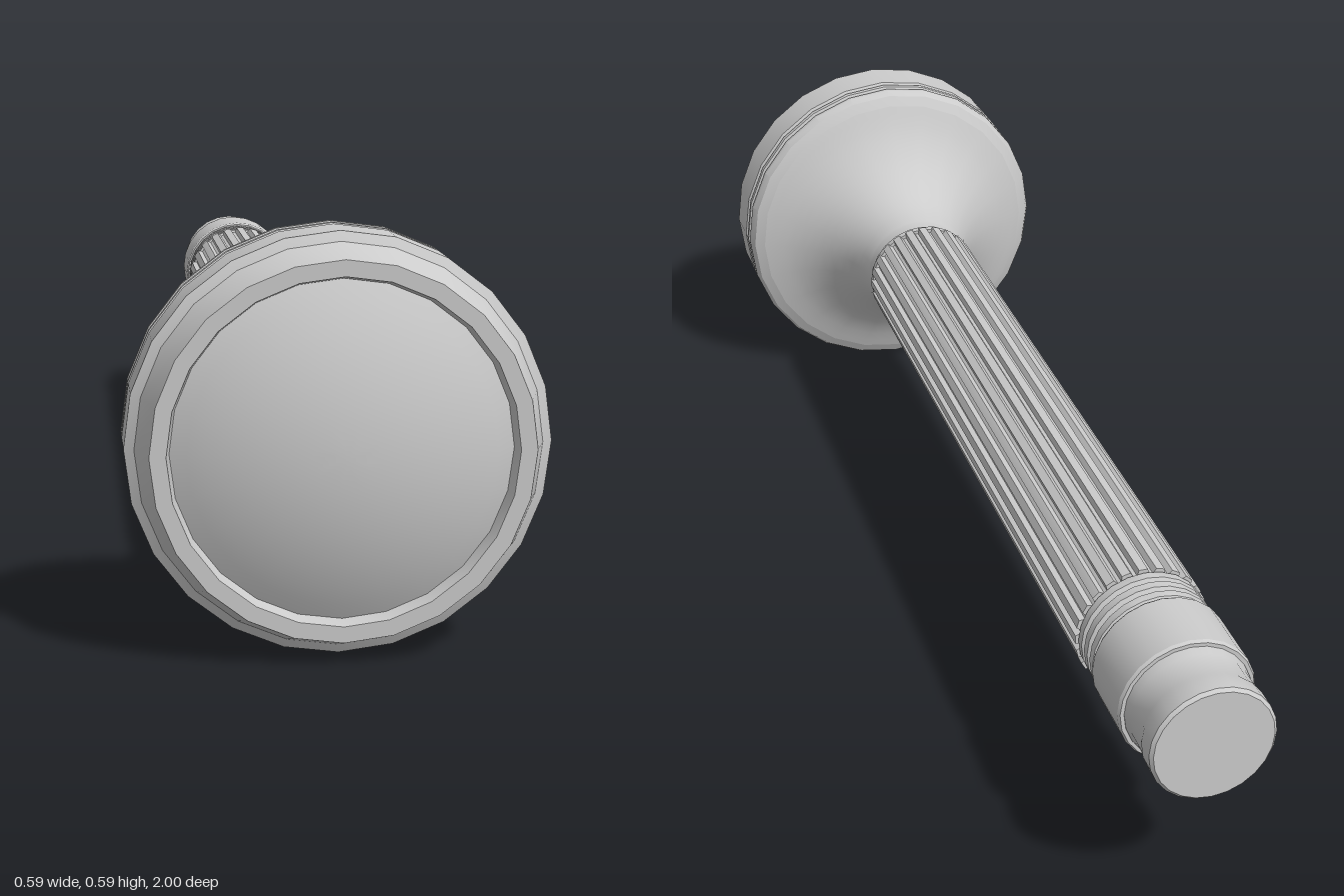
import * as THREE from 'three';
import { toCreasedNormals } from 'three/addons/utils/BufferGeometryUtils.js';

const material = new THREE.MeshStandardMaterial({ color: 0xcccccc });
const AXIS_Y = 0.298;

function addMesh(group, name, geometry, crease = 0.5) {
  const mesh = new THREE.Mesh(toCreasedNormals(geometry, crease), material);
  mesh.name = name;
  group.add(mesh);
}

// Turned part along z; profile is [radius, z] from back to front
function turned(profile, sides = 24) {
  const points = profile.map(([r, z]) => new THREE.Vector2(r, z));
  return new THREE.LatheGeometry(points, sides).rotateX(Math.PI / 2);
}

// Fluted bar: raised flat ribs alternating with shallow grooves
function fluted(ribs, outer, inner, z0, z1) {
  const shape = new THREE.Shape();
  const step = (Math.PI * 2) / ribs;
  const corners = [[0.0, outer], [0.5, outer], [0.64, inner], [0.86, inner]];
  for (let i = 0; i < ribs; i++) {
    corners.forEach(([f, r], k) => {
      const a = (i + f - 0.25) * step + Math.PI / 2;
      const x = r * Math.cos(a), y = r * Math.sin(a);
      if (i + k === 0) shape.moveTo(x, y);
      else shape.lineTo(x, y);
    });
  }
  shape.closePath();
  return new THREE.ExtrudeGeometry(shape, { depth: z1 - z0, bevelEnabled: false }).translate(0, 0, z0);
}

export function createModel() {
  const group = new THREE.Group();
  group.name = 'flaredHandle';
  const body = new THREE.Group();
  body.name = 'body';
  body.position.y = AXIS_Y;
  group.add(body);

  // Stepped plug closing the rear end
  addMesh(body, 'endPlug', turned([
    [0, -1], [0.092, -1], [0.097, -0.995], [0.097, -0.965], [0.094, -0.955],
    [0.094, -0.91], [0.098, -0.9], [0.098, -0.88],
  ]));

  // Wide collar in front of the plug
  addMesh(body, 'rearCollar', turned([
    [0.09, -0.897], [0.104, -0.897], [0.107, -0.892], [0.107, -0.785], [0.104, -0.78], [0.09, -0.78],
  ]));

  // Grooved rings between collar and grip
  const rings = [[0.09, -0.785]];
  for (let i = 0; i < 3; i++) {
    const z = -0.776 + i * 0.025;
    rings.push([0.094, z], [0.102, z + 0.004], [0.102, z + 0.018], [0.094, z + 0.022]);
  }
  rings.push([0.09, -0.695]);
  addMesh(body, 'grooveRings', turned(rings));

  addMesh(body, 'flutedGrip', fluted(24, 0.106, 0.097, -0.705, 0.535), 0.3);

  // Neck rings and concave flare
  const flare = new THREE.SplineCurve([
    [0.101, 0.575], [0.111, 0.615], [0.134, 0.66], [0.172, 0.705], [0.221, 0.74], [0.272, 0.762],
  ].map((p) => new THREE.Vector2(...p))).getPoints(14).map((p) => [p.x, p.y]);
  addMesh(body, 'flaredNeck', turned([
    [0.09, 0.53], [0.104, 0.53], [0.104, 0.543], [0.1, 0.547], [0.1, 0.57], ...flare,
  ]));

  // Head rim with double grooves, bevelled lip and a recess for the dome
  addMesh(body, 'headRim', turned([
    [0.272, 0.762], [0.29, 0.772], [0.297, 0.785], [0.297, 0.793],
    [0.291, 0.796], [0.291, 0.803], [0.297, 0.806], [0.297, 0.816],
    [0.291, 0.819], [0.291, 0.826], [0.297, 0.83], [0.297, 0.906],
    [0.283, 0.914], [0.265, 0.966], [0.242, 0.966], [0.235, 0.935],
  ]));

  // Shallow convex front dome
  const dome = [];
  const R = 0.52;
  for (let i = 0; i <= 10; i++) {
    const r = 0.238 * (1 - i / 10);
    dome.push([r, 1 - R + Math.sqrt(R * R - r * r)]);
  }
  addMesh(body, 'frontDome', turned(dome));

  return group;
}
